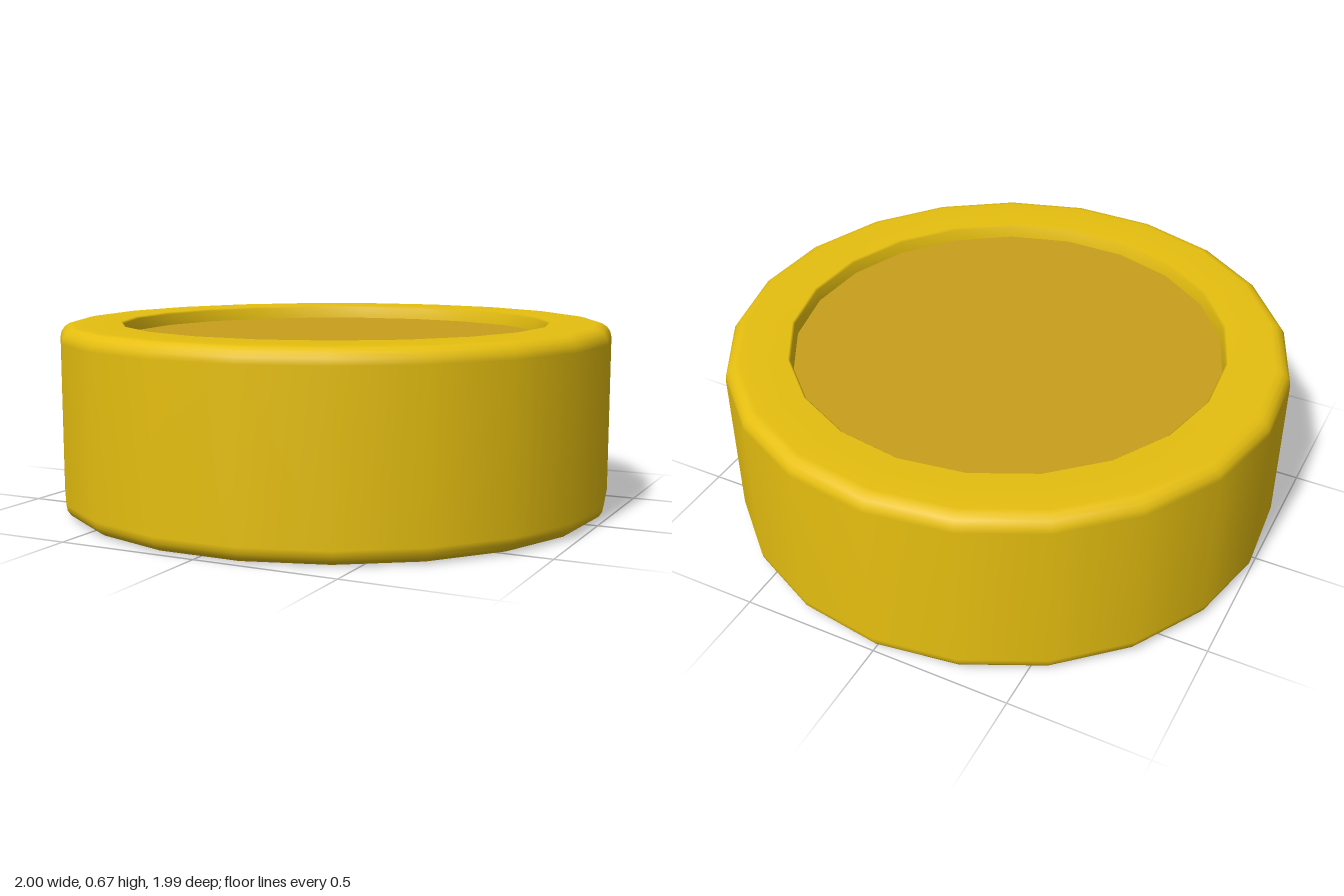
import * as THREE from 'three';

const SIDES = 21, HEIGHT = 0.67, RADIUS = 1.003, BEVEL = 0.055;
const INNER = 0.775, FLOOR = 0.768, DEPTH = 0.05;

export function createModel() {
  const group = new THREE.Group();
  group.name = 'disc';
  const rimMaterial = new THREE.MeshStandardMaterial({ color: 0xe6bf10 });
  const faceMaterial = new THREE.MeshStandardMaterial({ color: 0xc99f1c });

  // Lower half of the rim profile: recess wall, flat lip, rounded outer corner
  const lower = [[FLOOR, DEPTH], [INNER, 0.008], [INNER + 0.008, 0]];
  for (let i = 0; i <= 4; i++) {
    const a = (i / 4) * Math.PI / 2;
    lower.push([RADIUS - BEVEL + BEVEL * Math.sin(a), BEVEL - BEVEL * Math.cos(a)]);
  }
  // Mirror it for the upper half
  const upper = lower.map(([r, y]) => [r, HEIGHT - y]).reverse();
  const profile = [...lower, ...upper].map(([r, y]) => new THREE.Vector2(r, y));
  const rim = new THREE.Mesh(new THREE.LatheGeometry(profile, SIDES, Math.PI), rimMaterial);
  rim.name = 'rim';
  group.add(rim);

  // Flat recessed faces, one on each side
  for (const side of [1, -1]) {
    const geometry = new THREE.CircleGeometry(FLOOR, SIDES, side * Math.PI / 2);
    geometry.rotateX(-side * Math.PI / 2);
    const face = new THREE.Mesh(geometry, faceMaterial);
    face.name = side > 0 ? 'topFace' : 'bottomFace';
    face.position.y = side > 0 ? HEIGHT - DEPTH : DEPTH;
    group.add(face);
  }

  // Centre the odd-sided outline front to back
  group.children.forEach((mesh) => { mesh.position.z = 0.0056; });
  return group;
}
